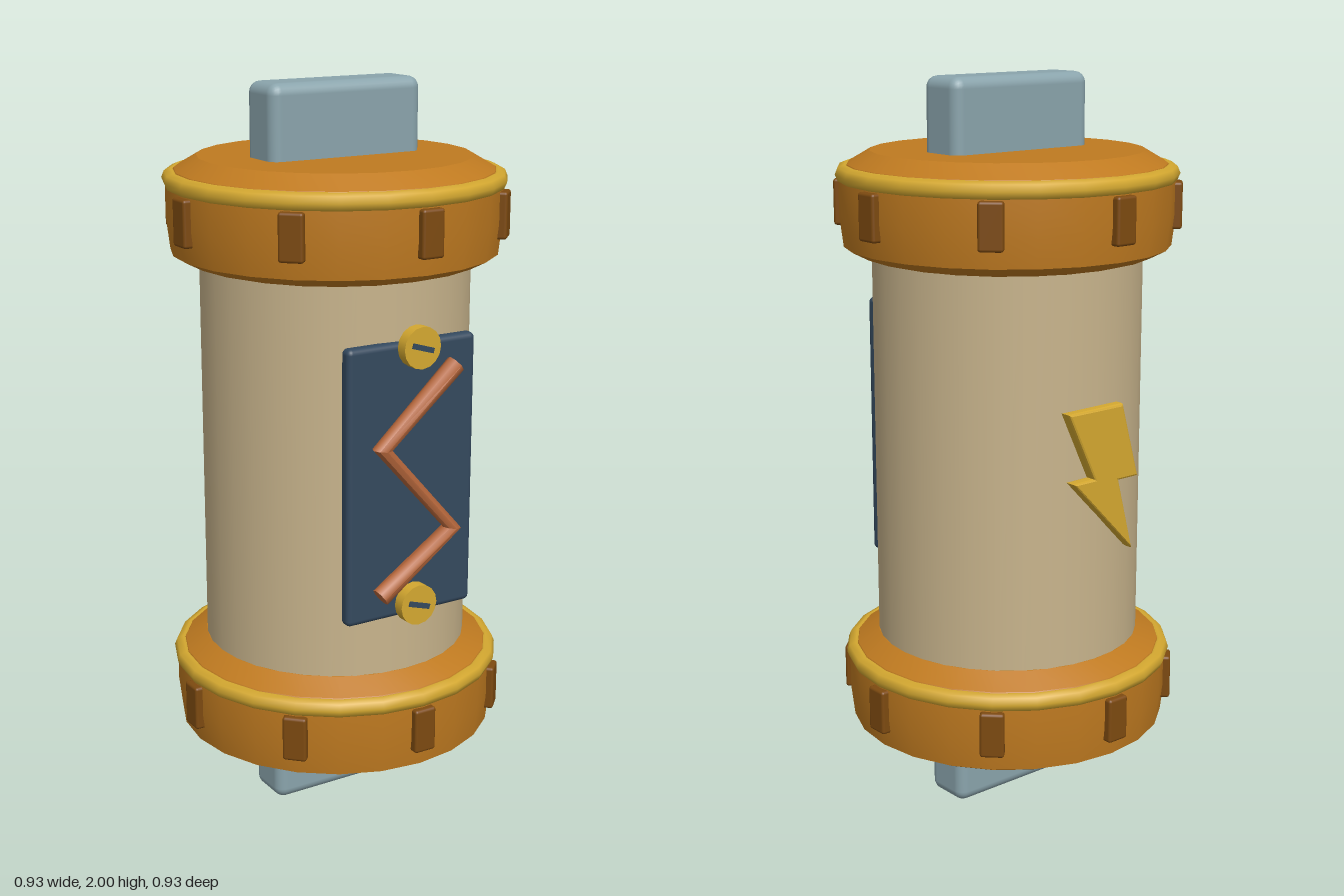
import * as THREE from 'three';
import { toCreasedNormals } from 'three/addons/utils/BufferGeometryUtils.js';
import { RoundedBoxGeometry } from 'three/addons/geometries/RoundedBoxGeometry.js';

const material = (name, color) => {
  const m = new THREE.MeshStandardMaterial({ color });
  m.name = name;
  return m;
};

export function createModel() {
  const tan = material('tan', 0xc8b48c);
  const amber = material('amber', 0xbf7a20);
  const gold = material('gold', 0xd4a830);
  const brown = material('brown', 0x7d4a10);
  const steel = material('steel', 0x8aa4ac);
  const navy = material('navy', 0x34495e);
  const copper = material('copper', 0xb8683c);

  const model = new THREE.Group();
  model.name = 'canister';
  const add = (parent, name, geometry, mat, x = 0, y = 0, z = 0) => {
    const mesh = new THREE.Mesh(geometry, mat);
    mesh.name = name;
    mesh.position.set(x, y, z);
    parent.add(mesh);
    return mesh;
  };

  // Body tube and the flat bar ends that stick out of both caps
  add(model, 'body', new THREE.CylinderGeometry(0.363, 0.363, 1.2, 32), tan, 0, 1, 0);
  for (const [name, y] of [['bottomBar', 0.15], ['topBar', 1.85]]) {
    add(model, name, new RoundedBoxGeometry(0.456, 0.3, 0.14, 3, 0.03), steel, 0, y, 0);
  }

  // Two identical caps, each with a gold rim and eight lugs
  const profile = [
    [0, 0], [0.345, 0], [0.395, 0.013], [0.438, 0.035], [0.448, 0.12],
    [0.448, 0.21], [0.425, 0.25], [0.365, 0.285], [0, 0.285],
  ].map(([r, y]) => new THREE.Vector2(r, y));
  const capGeometry = toCreasedNormals(new THREE.LatheGeometry(profile, 24), 0.5);
  const rimGeometry = new THREE.TorusGeometry(0.432, 0.025, 8, 24).rotateX(Math.PI / 2);
  const lugGeometry = new RoundedBoxGeometry(0.065, 0.124, 0.05, 2, 0.008);
  for (const [name, y] of [['bottomCap', 0.187], ['topCap', 1.52]]) {
    const cap = new THREE.Group();
    cap.name = name;
    cap.position.y = y;
    model.add(cap);
    add(cap, 'capShell', capGeometry, amber);
    add(cap, 'capRim', rimGeometry, gold, 0, 0.225, 0);
    for (let i = 0; i < 8; i++) {
      const a = (i * Math.PI) / 4;
      const lug = add(cap, 'lug', lugGeometry, brown, 0.439 * Math.sin(a), 0.142, 0.439 * Math.cos(a));
      lug.rotation.y = a;
    }
  }

  // Front panel
  add(model, 'panel', new RoundedBoxGeometry(0.388, 0.742, 0.04, 3, 0.015), navy, 0, 1.006, 0.36);

  // Zigzag wire: a rod whose four rings are moved onto the corner points
  const path = [[0.112, 1.31], [-0.11, 1.115], [0.108, 0.87], [-0.112, 0.715]]
    .map(([x, y]) => new THREE.Vector2(x, y));
  const wire = new THREE.CylinderGeometry(0.026, 0.026, 1, 8, 3);
  const pos = wire.attributes.position;
  for (let i = 0; i < pos.count; i++) {
    const k = Math.round((0.5 - pos.getY(i)) * 3);
    const dir = new THREE.Vector2();
    if (k > 0) dir.add(path[k].clone().sub(path[k - 1]).normalize());
    if (k < 3) dir.add(path[k + 1].clone().sub(path[k]).normalize());
    dir.normalize();
    const x = pos.getX(i);
    pos.setXYZ(i, path[k].x - dir.y * x, path[k].y + dir.x * x, pos.getZ(i));
  }
  add(model, 'zigzagWire', toCreasedNormals(wire, 0.9), copper, 0, 0, 0.408);

  // Slotted screws above and below the wire
  const screwGeometry = new THREE.CylinderGeometry(0.055, 0.055, 0.032, 16).rotateX(Math.PI / 2);
  for (const y of [0.675, 1.368]) {
    add(model, 'screw', screwGeometry, gold, 0, y, 0.406);
    const slot = add(model, 'screwSlot', new THREE.BoxGeometry(0.066, 0.014, 0.006), navy, 0, y, 0.423);
    slot.rotation.z = -0.3;
  }

  // Raised lightning bolt on the back
  const bolt = new THREE.Shape([
    [-0.115, 1.168], [0.06, 1.168], [0.115, 0.975], [0.046, 0.975],
    [0.1, 0.78], [-0.095, 0.982], [-0.025, 0.982],
  ].map(([x, y]) => new THREE.Vector2(x, y)));
  const boltGeometry = new THREE.ExtrudeGeometry(bolt, {
    depth: 0.02, bevelEnabled: true, bevelThickness: 0.008, bevelSize: 0.007, bevelSegments: 2,
  });
  add(model, 'backBolt', boltGeometry, gold, 0, 0, -0.365).rotation.y = Math.PI;

  return model;
}
